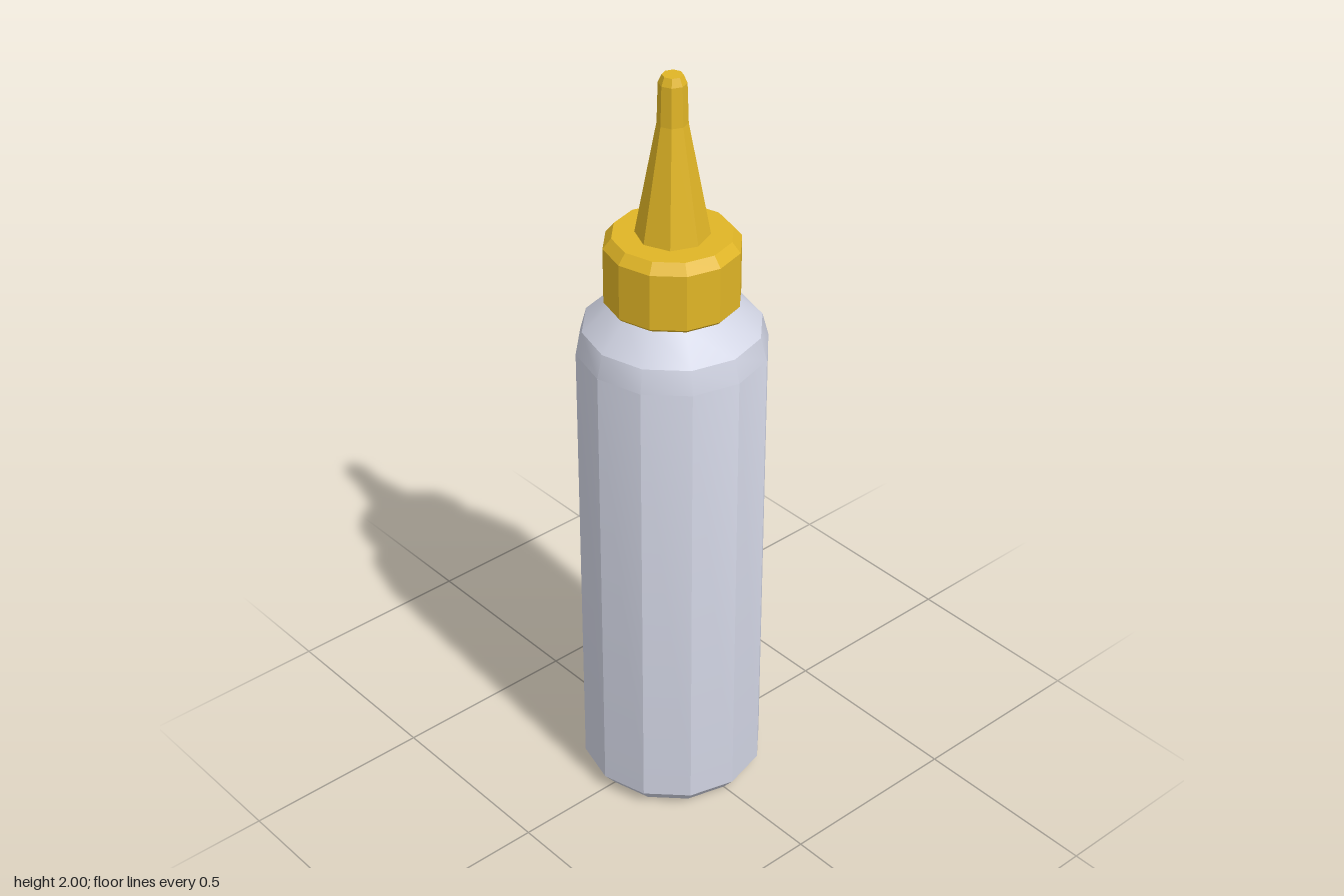
import * as THREE from 'three';
import { toCreasedNormals } from 'three/addons/utils/BufferGeometryUtils.js';

const bottlePlastic = new THREE.MeshStandardMaterial({ color: 0xd0d3e2 });
bottlePlastic.name = 'palePlastic';
const capPlastic = new THREE.MeshStandardMaterial({ color: 0xe0b526 });
capPlastic.name = 'yellowPlastic';

// Faceted turned part from [radius, height] pairs, bottom to top
function turned(name, profile, sides, material, creaseDegrees) {
  const points = profile.map(([r, y]) => new THREE.Vector2(r, y));
  const lathe = new THREE.LatheGeometry(points, sides);
  const geometry = toCreasedNormals(lathe, THREE.MathUtils.degToRad(creaseDegrees));
  const mesh = new THREE.Mesh(geometry, material);
  mesh.name = name;
  return mesh;
}

export function createModel() {
  const group = new THREE.Group();
  group.name = 'squeezeBottle';

  // Body: chamfered foot, straight wall, softly shaded shoulder
  group.add(turned('body', [
    [0, 0], [0.205, 0], [0.238, 0.04], [0.238, 1.285],
    [0.222, 1.345], [0.15, 1.412], [0.13, 1.43], [0, 1.43],
  ], 12, bottlePlastic, 29.7));

  // Screw cap with bevelled rims
  group.add(turned('cap', [
    [0, 1.415], [0.162, 1.415], [0.168, 1.422], [0.168, 1.567],
    [0.147, 1.593], [0, 1.593],
  ], 12, capPlastic, 10));

  // Tapered nozzle and its narrow tip
  group.add(turned('nozzle', [
    [0, 1.59], [0.091, 1.59], [0.037, 1.88], [0.034, 1.98],
    [0.025, 2], [0, 2],
  ], 8, capPlastic, 5));

  return group;
}
